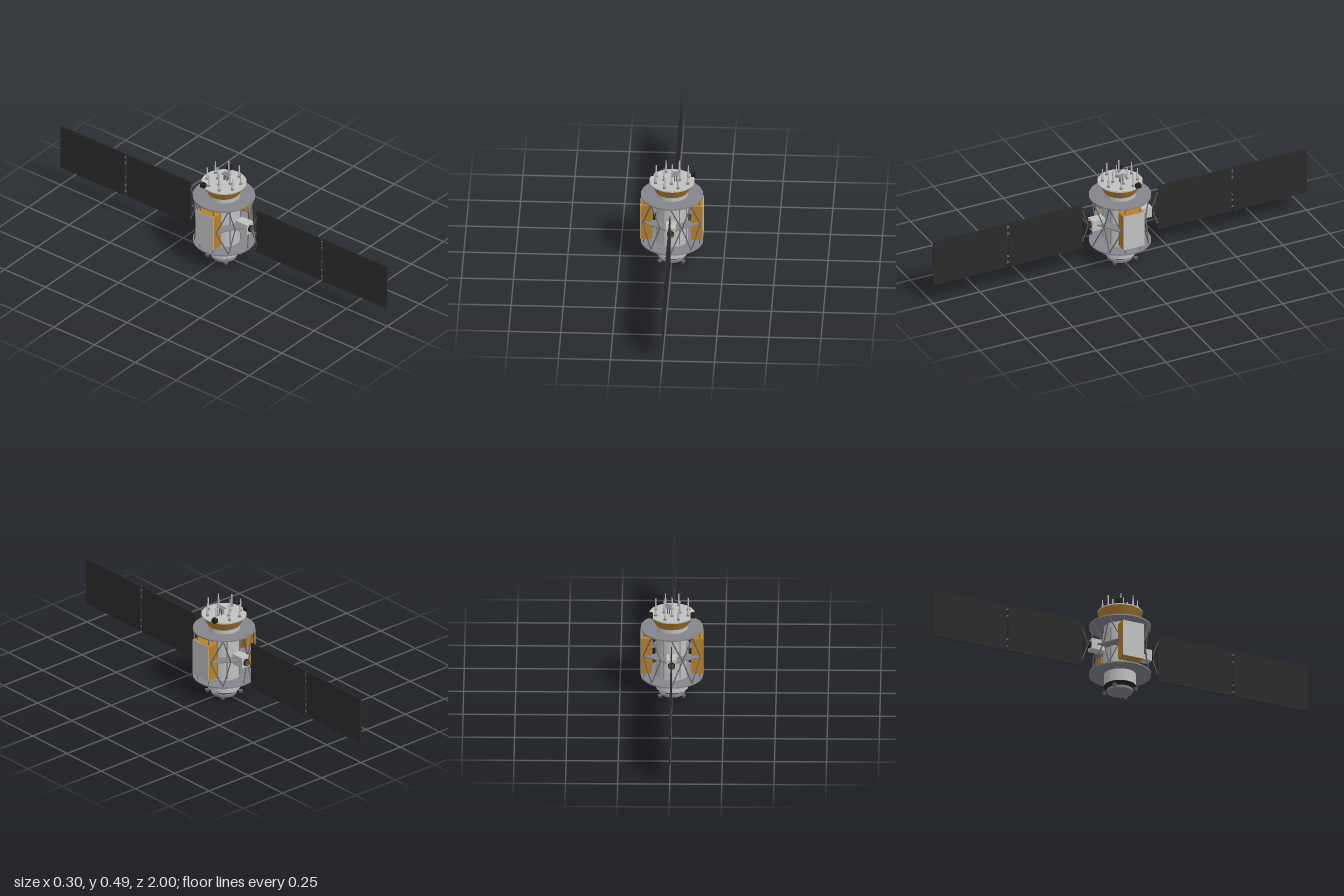
import * as THREE from 'three';

const mat = (name, color, side = THREE.FrontSide) => {
  const m = new THREE.MeshStandardMaterial({ color, side });
  m.name = name;
  return m;
};

export function createModel() {
  const root = new THREE.Group();
  root.name = 'satellite';
  const hull = mat('hull grey', 0xc0c0c0);
  const ringGrey = mat('ring grey', 0x85858c);
  const strutGrey = mat('strut grey', 0x66666c);
  const gold = mat('gold foil', 0xb8802c);
  const black = mat('black', 0x222222);
  const panelMat = mat('solar panel', 0x2b2b2b);
  const olive = mat('dark olive', 0x5a4a28);

  const add = (name, geo, material, x = 0, y = 0, z = 0) => {
    const m = new THREE.Mesh(geo, material);
    m.name = name;
    m.position.set(x, y, z);
    root.add(m);
    return m;
  };
  const box = (name, w, h, d, material, x, y, z) =>
    add(name, new THREE.BoxGeometry(w, h, d), material, x, y, z);
  // Upright cylinder or cone between two heights
  const cyl = (name, rBottom, rTop, y0, y1, material, x = 0, z = 0, n = 48) =>
    add(name, new THREE.CylinderGeometry(rTop, rBottom, y1 - y0, n), material, x, (y0 + y1) / 2, z);
  // Round bar between two points
  const up = new THREE.Vector3(0, 1, 0);
  const rod = (name, a, b, r, material) => {
    const p = new THREE.Vector3(...a), q = new THREE.Vector3(...b);
    const d = q.clone().sub(p);
    const m = add(name, new THREE.CylinderGeometry(r, r, d.length(), 8), material);
    m.position.copy(p).add(q).multiplyScalar(0.5);
    m.quaternion.setFromUnitVectors(up, d.normalize());
    return m;
  };
  // Flat plate from a shape in x and z
  const plate = (name, shape, y, t, material) => {
    const g = new THREE.ExtrudeGeometry(shape, { depth: t, bevelEnabled: false, curveSegments: 32 });
    g.rotateX(Math.PI / 2);
    return add(name, g, material, 0, y + t / 2, 0);
  };

  // Central body, lower adapter and upper cone
  cyl('body', 0.078, 0.078, 0.032, 0.372, hull);
  cyl('lowerCone', 0.05, 0.078, 0.013, 0.032, black);
  cyl('baseDisc', 0.062, 0.064, 0.002, 0.014, ringGrey);
  cyl('upperCone', 0.078, 0.107, 0.37, 0.418, gold);
  cyl('topDeck', 0.109, 0.109, 0.418, 0.424, hull);
  for (let i = 0; i < 4; i++) {
    const a = Math.PI / 4 + i * Math.PI / 2;
    const foot = cyl('foot', 0.007, 0.012, 0, 0.014, strutGrey, Math.sin(a) * 0.08, Math.cos(a) * 0.08, 8);
    foot.rotation.y = a;
  }

  // Equipment rings
  for (const y of [0.0965, 0.346]) {
    const s = new THREE.Shape();
    s.absarc(0, 0, 0.15, 0, Math.PI * 2, false);
    const hole = new THREE.Path();
    hole.absarc(0, 0, 0.077, 0, Math.PI * 2, true);
    s.holes.push(hole);
    plate('equipmentRing', s, y, 0.007, ringGrey);
  }

  for (const s of [-1, 1]) {
    // Side equipment boxes with radiator faces and standoffs
    box('equipmentBox', 0.054, 0.184, 0.112, gold, s * 0.122, 0.22, 0);
    box('radiator', 0.002, 0.184, 0.112, hull, s * 0.15, 0.22, 0);
    for (const z of [-0.04, 0.04]) {
      rod('standoff', [s * 0.135, 0.099, z], [s * 0.132, 0.13, z], 0.0025, strutGrey);
      rod('standoff', [s * 0.135, 0.344, z], [s * 0.132, 0.31, z], 0.0025, strutGrey);
    }

    // Middle support plate
    const shape = new THREE.Shape([
      [-0.14, 0.06], [-0.055, 0.11], [-0.024, 0.135], [0.024, 0.135],
      [0.055, 0.11], [0.14, 0.06], [0.07, 0.03], [-0.07, 0.03],
    ].map(([x, z]) => new THREE.Vector2(x, z * s)));
    plate('middlePlate', shape, 0.221, 0.006, ringGrey);

    // Truss bars between the rings and the middle plate
    for (const y of [0.099, 0.343]) {
      rod('trussBar', [0, y, s * 0.145], [s * 0.052, 0.221, s * 0.112], 0.003, strutGrey);
      for (const x of [-1, 1]) {
        rod('trussBar', [x * 0.097, y, s * 0.105], [x * 0.053, 0.221, s * 0.111], 0.003, strutGrey);
        rod('trussBar', [x * 0.097, y, s * 0.105], [x * 0.138, 0.221, s * 0.06], 0.003, strutGrey);
      }
    }

    // Vertical rails on the body
    for (const [x, z] of [[0.04, 0.069], [0.072, 0.034]])
      for (const sx of [-1, 1]) box('bodyRail', 0.005, 0.205, 0.005, ringGrey, sx * x, 0.212, s * z);

    // Panel drive with shaft
    box('driveBox', 0.048, 0.055, 0.07, hull, 0, 0.221, s * 0.125);
    add('driveCollar', new THREE.CylinderGeometry(0.017, 0.017, 0.012, 24).rotateX(Math.PI / 2), black, 0, 0.221, s * 0.164);
    add('driveCap', new THREE.CylinderGeometry(0.014, 0.014, 0.004, 24).rotateX(Math.PI / 2), olive, 0, 0.221, s * 0.171);

    // Yoke and solar wing
    for (const y of [0.14, 0.302]) {
      rod('yokeBar', [0, 0.221, s * 0.17], [0, y, s * 0.2], 0.0025, strutGrey);
      rod('yokeHinge', [0, y, s * 0.197], [0, y, s * 0.206], 0.0035, strutGrey);
    }
    for (const z of [0.399, 0.803]) box('solarPanel', 0.006, 0.24, 0.394, panelMat, 0, 0.221, s * z);
    for (const y of [0.125, 0.16, 0.285, 0.32]) box('panelHinge', 0.006, 0.008, 0.012, strutGrey, 0, y, s * 0.601);

    // Dark sensor boxes on the deck
    box('sensorBox', 0.02, 0.02, 0.024, black, s * 0.1, 0.434, -0.048);
    box('sensorCap', 0.011, 0.006, 0.013, black, s * 0.1, 0.447, -0.048);
  }

  // Antenna masts: eight outside, four inside
  const mast = (r, a) => {
    const x = Math.sin(a) * r, z = Math.cos(a) * r;
    cyl('antennaBase', 0.008, 0.007, 0.424, 0.432, ringGrey, x, z, 16);
    cyl('antennaMast', 0.0045, 0.003, 0.432, 0.488, hull, x, z, 12);
  };
  for (let i = 0; i < 8; i++) mast(0.084, (i + 0.5) * Math.PI / 4);
  for (let i = 0; i < 4; i++) mast(0.038, i * Math.PI / 2);

  // Small table antenna in the middle of the deck
  box('tableTop', 0.028, 0.004, 0.04, ringGrey, 0.017, 0.459, 0);
  for (const x of [0.012, 0.022])
    for (const z of [-0.008, 0.008]) rod('tableLeg', [x, 0.424, z], [x, 0.458, z], 0.0025, strutGrey);

  return root;
}
